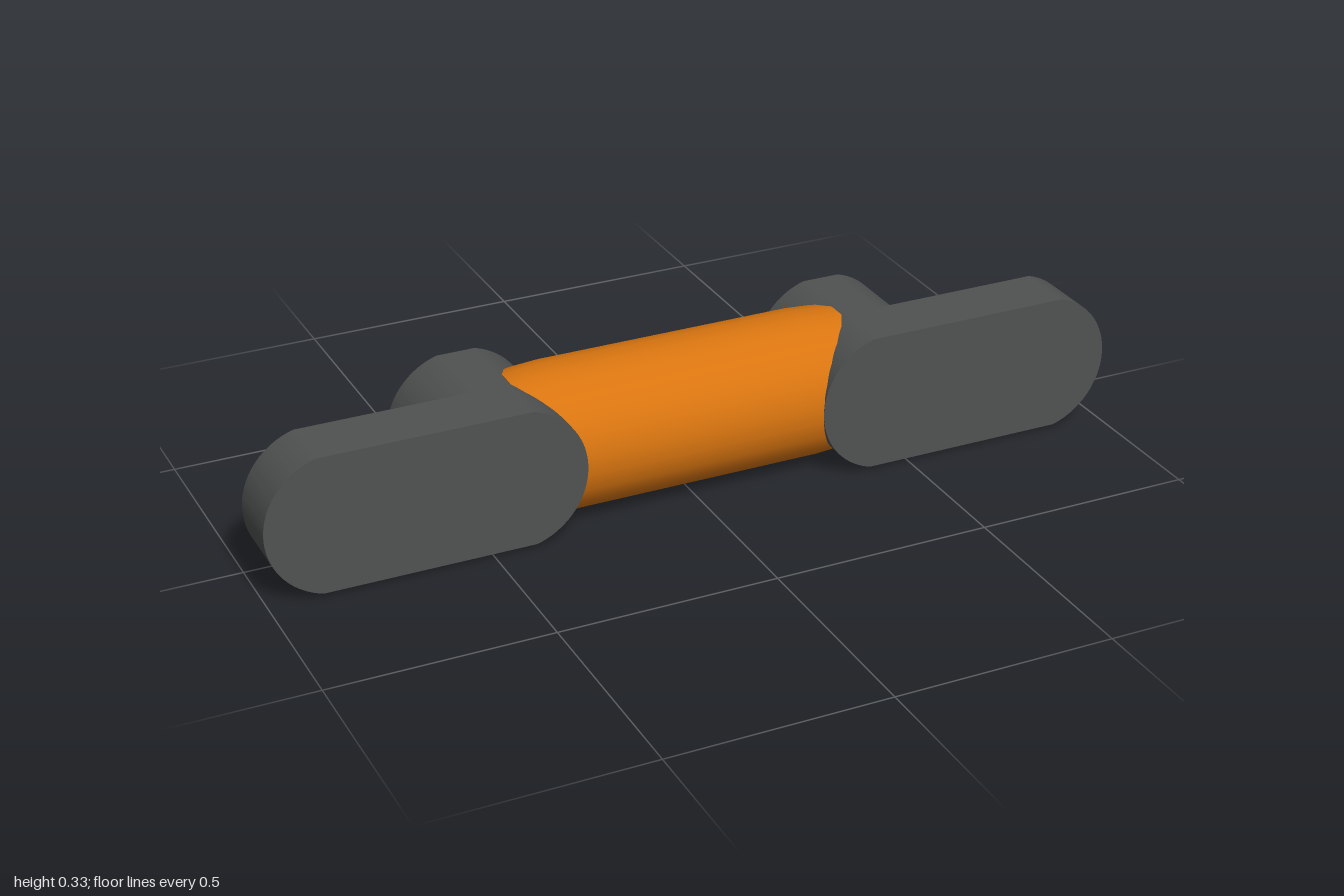
import * as THREE from 'three';
import { toCreasedNormals } from 'three/addons/utils/BufferGeometryUtils.js';

const R = 0.164;       // end radius of the links
const FLAT = 0.158;    // half height of the milled flats
const MID = 0.166;     // height of the centre line
const DEPTH = 0.167;   // half depth of the bosses
const STEP = 0.028;    // back face of the outer links

const linkMaterial = new THREE.MeshStandardMaterial({ color: 0x505252 });
const rollerMaterial = new THREE.MeshStandardMaterial({ color: 0xd97510 });

// Rounded outline between two end centres, with flats on top and bottom
function linkGeometry(x0, x1, z0, z1) {
  const a = Math.asin(FLAT / R);
  const shape = new THREE.Shape();
  shape.absarc(x1, 0, R, -a, a, false);
  shape.absarc(x0, 0, R, Math.PI - a, Math.PI + a, false);
  shape.closePath();
  const geometry = new THREE.ExtrudeGeometry(shape, {
    depth: z1 - z0, bevelEnabled: false, curveSegments: 24,
  });
  geometry.translate(0, MID, z0);
  return toCreasedNormals(geometry, 0.2);
}

function addMesh(parent, name, geometry, material) {
  const mesh = new THREE.Mesh(geometry, material);
  mesh.name = name;
  parent.add(mesh);
  return mesh;
}

export function createModel() {
  const model = new THREE.Group();
  model.name = 'chainLink';

  // Central roller lying along x, its rims easing into the bosses
  const profile = [[0, -0.397], [0.159, -0.397], [0.164, -0.355], [0.1675, -0.3],
    [0.1675, 0.3], [0.164, 0.355], [0.159, 0.397], [0, 0.397]]
    .map(([r, y]) => new THREE.Vector2(r, y));
  const roller = new THREE.LatheGeometry(profile, 24, Math.PI / 24);
  roller.rotateZ(Math.PI / 2);
  roller.translate(0, MID, 0);
  addMesh(model, 'roller', toCreasedNormals(roller, 0.5), rollerMaterial);

  // A boss behind and a longer link plate in front at each end
  for (const [side, s] of [['left', 1], ['right', -1]]) {
    const inner = s * 0.446, outer = s * 0.836;
    const x0 = Math.min(inner, outer), x1 = Math.max(inner, outer);
    addMesh(model, side + 'Boss', linkGeometry(inner, inner, -DEPTH, STEP), linkMaterial);
    addMesh(model, side + 'LinkPlate', linkGeometry(x0, x1, STEP, DEPTH), linkMaterial);
  }
  return model;
}
